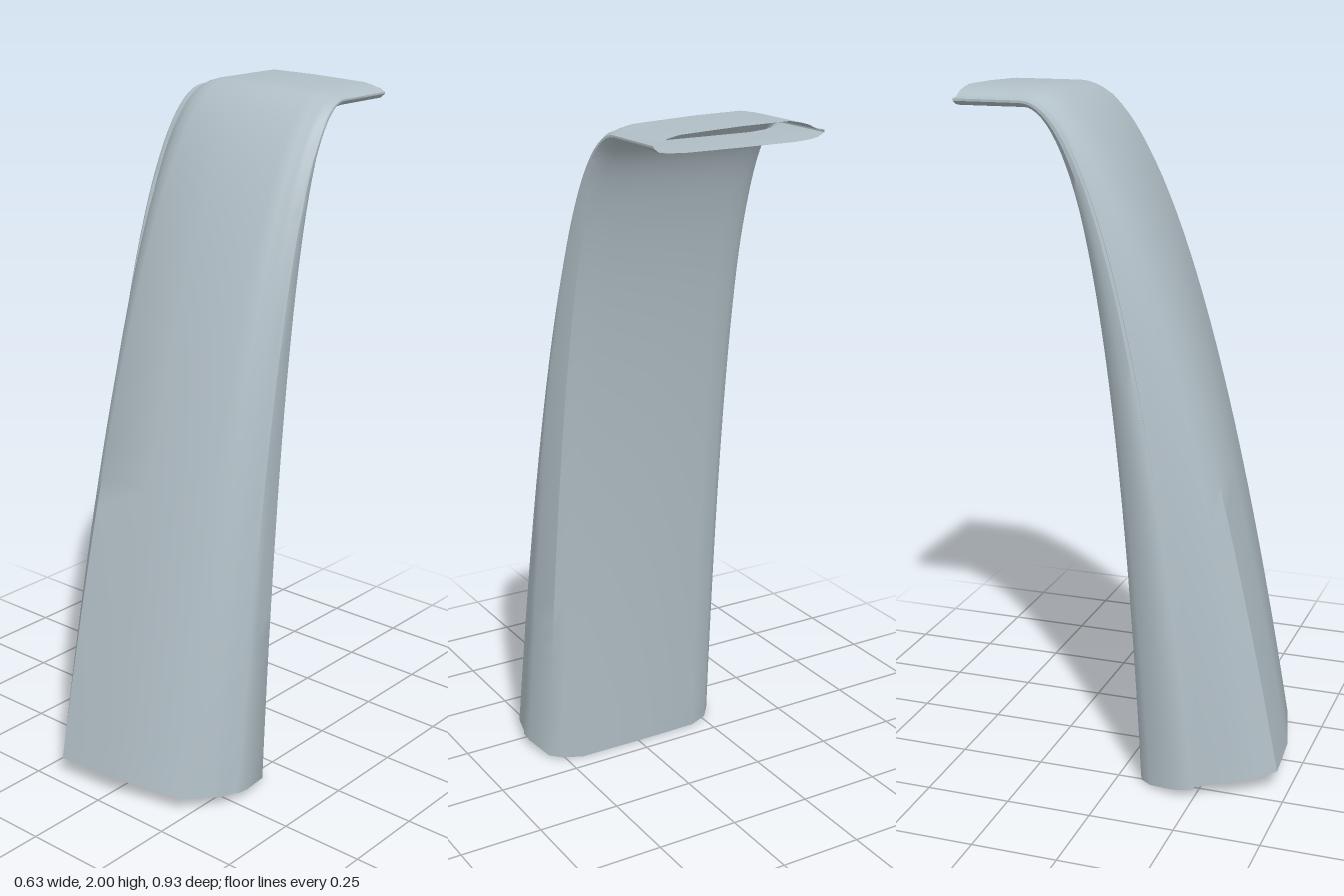
import * as THREE from 'three';
import { toCreasedNormals } from 'three/addons/utils/BufferGeometryUtils.js';

// Cross-section: [x at the foot, depth from 0 (back) to 1 (front)], front left to right, then back
const SECTION = [
  [-0.315, 0.45], [-0.307, 0.485], [-0.295, 0.47], [-0.28, 0.56], [-0.255, 0.75], [-0.225, 0.88],
  [-0.18, 1], [0, 0.965], [0.22, 0.835], [0.255, 0.74], [0.277, 0.645], [0.293, 0.61],
  [0.306, 0.46], [0.312, 0.44], [0.312, 0.35], [0.292, 0.12], [0.26, 0.06], [0.2, 0.005],
  [0, 0], [-0.2, 0.005], [-0.26, 0.06], [-0.292, 0.15], [-0.315, 0.33],
];

// Profile curves in the (z, y) plane
const v = (z, y) => new THREE.Vector2(z, y);
const frontCurve = new THREE.QuadraticBezierCurve(v(0.465, 0.06), v(0.09, 2), v(-0.26, 2));
const backCurve = new THREE.QuadraticBezierCurve(v(0.05, 0.004), v(-0.04, 1.945), v(-0.275, 1.945));

function loftGeometry() {
  const steps = 32, n = SECTION.length;
  const positions = [], index = [];
  const addRing = (front, back, widthScale) => {
    for (const [x, d] of SECTION) {
      const p = back.clone().lerp(front, d);
      positions.push(x * widthScale, p.y, p.x);
    }
  };
  // Tapering, bending body
  for (let i = 0; i <= steps; i++) {
    const t = i / steps;
    addRing(frontCurve.getPoint(t), backCurve.getPoint(t), 1 - 0.18 * t);
  }
  // Straight horizontal end
  addRing(v(-0.467, 2), v(-0.467, 1.945), 0.82);

  for (let i = 0; i <= steps; i++) {
    for (let j = 0; j < n; j++) {
      const a = i * n + j, b = i * n + (j + 1) % n;
      index.push(a, b, b + n, a, b + n, a + n);
    }
  }
  const g = new THREE.BufferGeometry();
  g.setAttribute('position', new THREE.Float32BufferAttribute(positions, 3));
  g.setIndex(index);
  return toCreasedNormals(g, 0.75);
}

export function createModel() {
  const material = new THREE.MeshStandardMaterial({ color: 0xb0bec5, side: THREE.DoubleSide });
  material.name = 'pale blue grey';
  // Hollow curved shell, open at both ends
  const shell = new THREE.Mesh(loftGeometry(), material);
  shell.name = 'curvedHollowShell';
  const group = new THREE.Group();
  group.name = 'curvedDuct';
  group.add(shell);
  return group;
}
